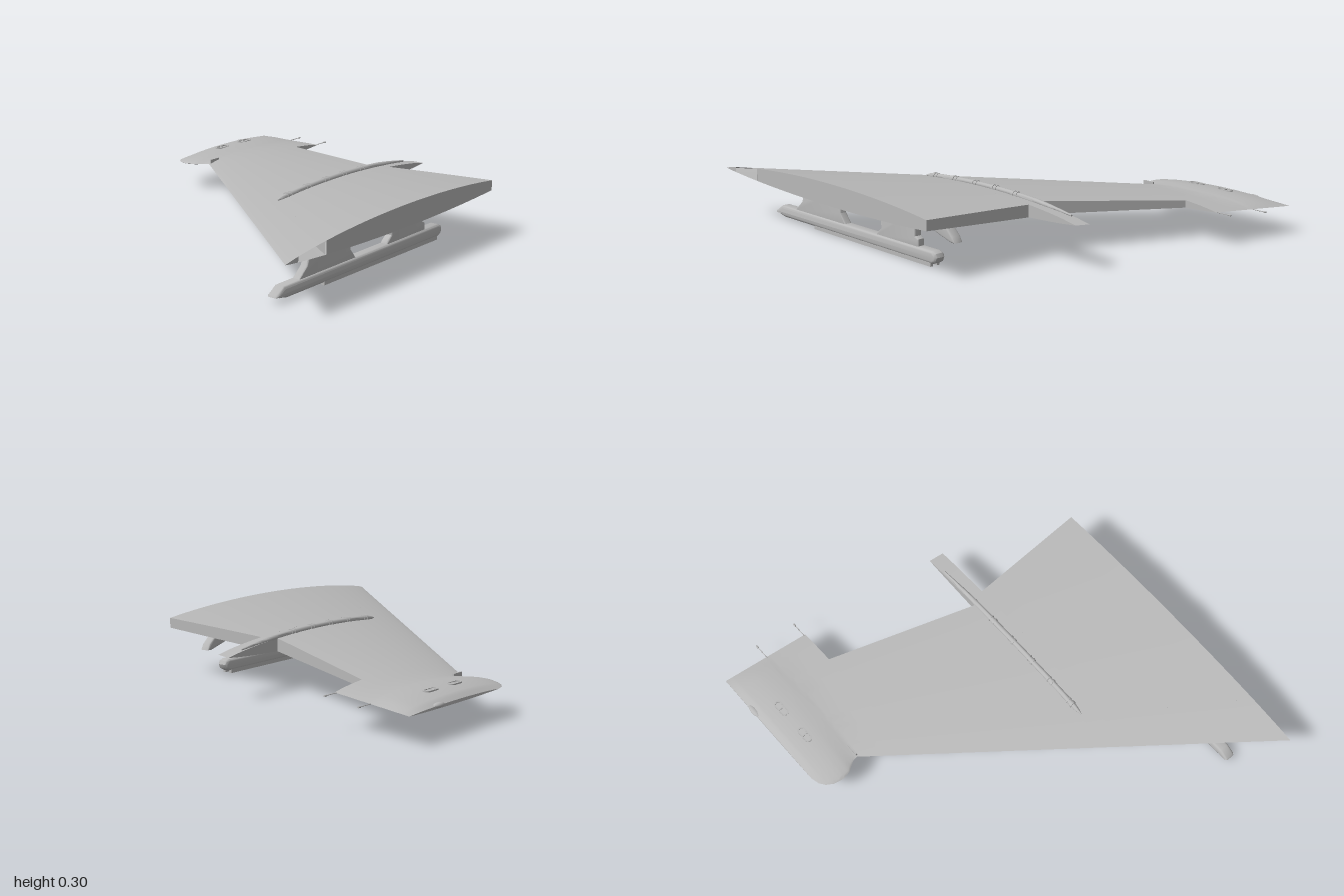
import * as THREE from 'three';
import { toCreasedNormals } from 'three/addons/utils/BufferGeometryUtils.js';

const clamp = THREE.MathUtils.clamp, lerp = THREE.MathUtils.lerp;

// Planform: leading edge, full trailing edge, and the shorter edges of the flap cut-outs
const tipEdge = [[-0.86, -0.33], [-0.85, -0.29], [-0.83, -0.262], [-0.8, -0.242], [-0.755, -0.23],
  [-0.71, -0.238], [-0.68, -0.258], [-0.66, -0.268], [-0.64, -0.2685]];
function leadZ(x) {
  if (x >= -0.64) return 0.99 - 0.839 * (0.86 - x);
  for (let i = 1; i < tipEdge.length; i++) {
    const [x0, z0] = tipEdge[i - 1], [x1, z1] = tipEdge[i];
    if (x <= x1) return lerp(z0, z1, clamp((x - x0) / (x1 - x0), 0, 1));
  }
}
const trailZ = x => -0.77 + 0.17 * (x - 0.26);

// Height of the upper (side = 1) or lower (side = -1) skin
function skinY(x, z, side) {
  const t = clamp((leadZ(x) - z) / (leadZ(x) - trailZ(x)), 0, 1);
  const s = (x + 0.64) / 1.5;
  const tip = x < -0.62 ? Math.sin(Math.PI * clamp((-0.62 - x) / 0.25, 0, 1)) : 0;
  const round = Math.sqrt(clamp((x + 0.868) / 0.04, 0, 1));
  const amp = side > 0 ? 0.025 + 0.04 * s + 0.012 * tip : 0.012 + 0.023 * s + 0.011 * tip;
  const power = x < -0.64 ? lerp(0.85, 0.6, tip) : 0.85;
  return 0.14 + 0.0647 * (x + 0.64) + side * amp * round * Math.pow(4 * t * (1 - t), power);
}

// Wing panel lofted from airfoil sections, closed at both ends
function panel(xs, cutZ, openBay = false) {
  const n = 28, w = 2 * n + 2, pos = [], idx = [];
  for (const x of xs) {
    const z0 = leadZ(x), z1 = cutZ(x);
    for (let j = 0; j < w; j++) {
      const k = j <= n ? j : w - 1 - j;
      const z = lerp(z0, z1, Math.pow(k / n, 1.7));
      pos.push(x, skinY(x, z, j <= n ? 1 : -1), z);
    }
  }
  for (let i = 0; i < xs.length - 1; i++) {
    for (let j = 0; j < w - 1; j++) {
      const a = i * w + j, b = a + w;
      idx.push(a, b, b + 1, a, b + 1, a + 1);
    }
  }
  const last = (xs.length - 1) * w;
  for (let j = 0; j < n; j++) {
    const l = w - 1 - j;
    idx.push(l, j + 1, l - 1, l, j, j + 1);
    const z = pos[(last + j) * 3 + 2];
    if (openBay && z > 0.74 && z < 0.93) continue;
    idx.push(last + l, last + l - 1, last + j + 1, last + l, last + j + 1, last + j);
  }
  const g = new THREE.BufferGeometry();
  g.setAttribute('position', new THREE.Float32BufferAttribute(pos, 3));
  g.setIndex(idx);
  return toCreasedNormals(g, 0.6);
}

const steps = (a, b, n) => Array.from({ length: n + 1 }, (_, i) => lerp(a, b, i / n));

// Side profile given as [z, y] points, extruded to a width around x
function sideProfile(pts, x, width, bevel) {
  const shape = new THREE.Shape(pts.map(p => new THREE.Vector2(p[0], p[1])));
  const g = new THREE.ExtrudeGeometry(shape, {
    depth: width - 2 * bevel, bevelEnabled: bevel > 0, bevelSize: bevel,
    bevelThickness: bevel, bevelOffset: -bevel, bevelSegments: 3, curveSegments: 8 });
  g.rotateY(-Math.PI / 2).translate(x + width / 2 - bevel, 0, 0);
  return toCreasedNormals(g, 0.7);
}

// Capsule outline
function capsule(path, r, half) {
  path.absarc(0, half, r, 0, Math.PI, false);
  path.absarc(0, -half, r, Math.PI, 2 * Math.PI, false);
  path.closePath();
  return path;
}

export function createModel() {
  const model = new THREE.Group();
  model.name = 'wing';
  const grey = new THREE.MeshStandardMaterial({ color: 0xb8b8b8, side: THREE.DoubleSide });
  grey.name = 'wing grey';
  const add = (name, geometry, x = 0, y = 0, z = 0) => {
    const mesh = new THREE.Mesh(geometry, grey);
    mesh.name = name;
    mesh.position.set(x, y, z);
    model.add(mesh);
    return mesh;
  };

  // Wing panels from root to tip
  add('rootPanel', panel(steps(0.3, 0.86, 6), () => -0.48, true));
  add('fixedTrailingStrip', panel([0.23, 0.3], trailZ));
  add('middlePanel', panel(steps(-0.44, 0.23, 8), x => -0.45 - 0.388 * (0.23 - x)));
  add('tipPanel', panel([...steps(-0.86, -0.62, 24), -0.53, -0.44], trailZ));

  // Spar wall inside the open leading-edge bay
  const spar = new THREE.PlaneGeometry(1, 1, 4, 1);
  const sp = spar.attributes.position;
  for (let i = 0; i < sp.count; i++) {
    const x = lerp(0.4, 0.858, sp.getX(i) + 0.5);
    const z = lerp(leadZ(x), trailZ(x), 0.15);
    sp.setXYZ(i, x, skinY(x, z, sp.getY(i) > 0 ? 1 : -1), z);
  }
  spar.computeVertexNormals();
  add('leadingEdgeSpar', spar);

  // Slim rail following the upper skin, with collars and matching plates below
  const rail = new THREE.CylinderGeometry(1, 1, 1, 12, 40);
  const rp = rail.attributes.position;
  for (let i = 0; i < rp.count; i++) {
    const v = rp.getY(i) + 0.5;
    const z = lerp(0.275, -0.68, v);
    const r = 0.013 * Math.min(1, Math.sqrt(v / 0.06 + 0.02), 0.3 + (1 - v) / 0.3);
    rp.setXYZ(i, 0.24 + rp.getX(i) * r, skinY(0.24, z, 1) + 0.004 + rp.getZ(i) * r, z);
  }
  add('upperRail', toCreasedNormals(rail, 0.7));
  for (const z of [0.2, 0.065, -0.07, -0.2, -0.335]) {
    const y = skinY(0.24, z, 1) + 0.004;
    add('railCollar', new THREE.CylinderGeometry(0.0155, 0.0155, 0.012, 14).rotateX(Math.PI / 2), 0.24, y, z + 0.012);
    add('railCollar', new THREE.CylinderGeometry(0.0155, 0.0155, 0.006, 14).rotateX(Math.PI / 2), 0.24, y, z - 0.012);
    add('lowerRailPlate', new THREE.BoxGeometry(0.018, 0.008, 0.035), 0.24, skinY(0.24, z, -1), z);
  }

  // Access ports on both skins of the tip
  const ring = capsule(new THREE.Shape(), 0.018, 0.024);
  ring.holes.push(capsule(new THREE.Path(), 0.013, 0.022));
  const ringGeo = new THREE.ExtrudeGeometry(ring, { depth: 0.006, bevelEnabled: false });
  ringGeo.rotateX(-Math.PI / 2).translate(0, -0.003, 0);
  for (const z of [-0.5, -0.67]) {
    for (const side of [1, -1]) {
      const y = skinY(-0.755, z, side);
      add('portRim', ringGeo, -0.755, y + side * 0.001, z);
      add('portBar', new THREE.BoxGeometry(0.026, 0.006, 0.006), -0.755, y, z);
    }
  }

  // Small fence at the pod junction and a lamp on the tip
  add('junctionFence', new THREE.BoxGeometry(0.008, 0.024, 0.06), -0.637, 0.15, -0.305);
  const lamp = add('tipLamp', new THREE.SphereGeometry(1, 14, 10), -0.852, 0.133, -0.755);
  lamp.scale.set(0.016, 0.011, 0.038);

  // Trailing discharge wicks
  for (const [x, z, len] of [[-0.645, -0.92, 0.08], [-0.448, -0.885, 0.08]]) {
    const y = skinY(x, trailZ(x), 1);
    add('wick', new THREE.CylinderGeometry(0.002, 0.002, len, 6).rotateX(Math.PI / 2), x, y, z - len / 2);
    add('wickTip', new THREE.CylinderGeometry(0.004, 0.004, 0.014, 8).rotateX(Math.PI / 2), x, y, z - len + 0.007);
  }

  // Underwing store rail on two pylons
  const X = 0.67;
  add('storeRail', sideProfile([[0.84, 0.026], [0.835, 0.034], [0.79, 0.064], [-0.31, 0.07], [-0.33, 0.062],
    [-0.338, 0.045], [-0.33, 0.025], [-0.31, 0.014], [0.77, 0.012]], X, 0.054, 0.012));
  for (const side of [-1, 1]) {
    add('storeRailLip', new THREE.BoxGeometry(0.014, 0.02, 0.83), X + side * 0.018, 0.011, 0.115);
  }
  add('frontPylon', sideProfile([[0.69, 0.06], [0.635, 0.11], [0.62, 0.16], [0.6, 0.178], [0.55, 0.205],
    [0.34, 0.215], [0.34, 0.11], [0.3, 0.06]], X, 0.036, 0.006));
  add('rearPylon', sideProfile([[0.08, 0.06], [0.075, 0.075], [0.045, 0.1], [0.045, 0.215],
    [-0.19, 0.22], [-0.19, 0.11], [-0.21, 0.1], [-0.21, 0.06]], X, 0.036, 0.006));

  // Flap hinge fairing below the trailing edge
  add('hingeFairing', sideProfile([[-0.19, 0.215], [-0.25, 0.19], [-0.34, 0.155], [-0.43, 0.13],
    [-0.455, 0.132], [-0.44, 0.16], [-0.4, 0.195], [-0.38, 0.222]], X, 0.046, 0.008));

  return model;
}
